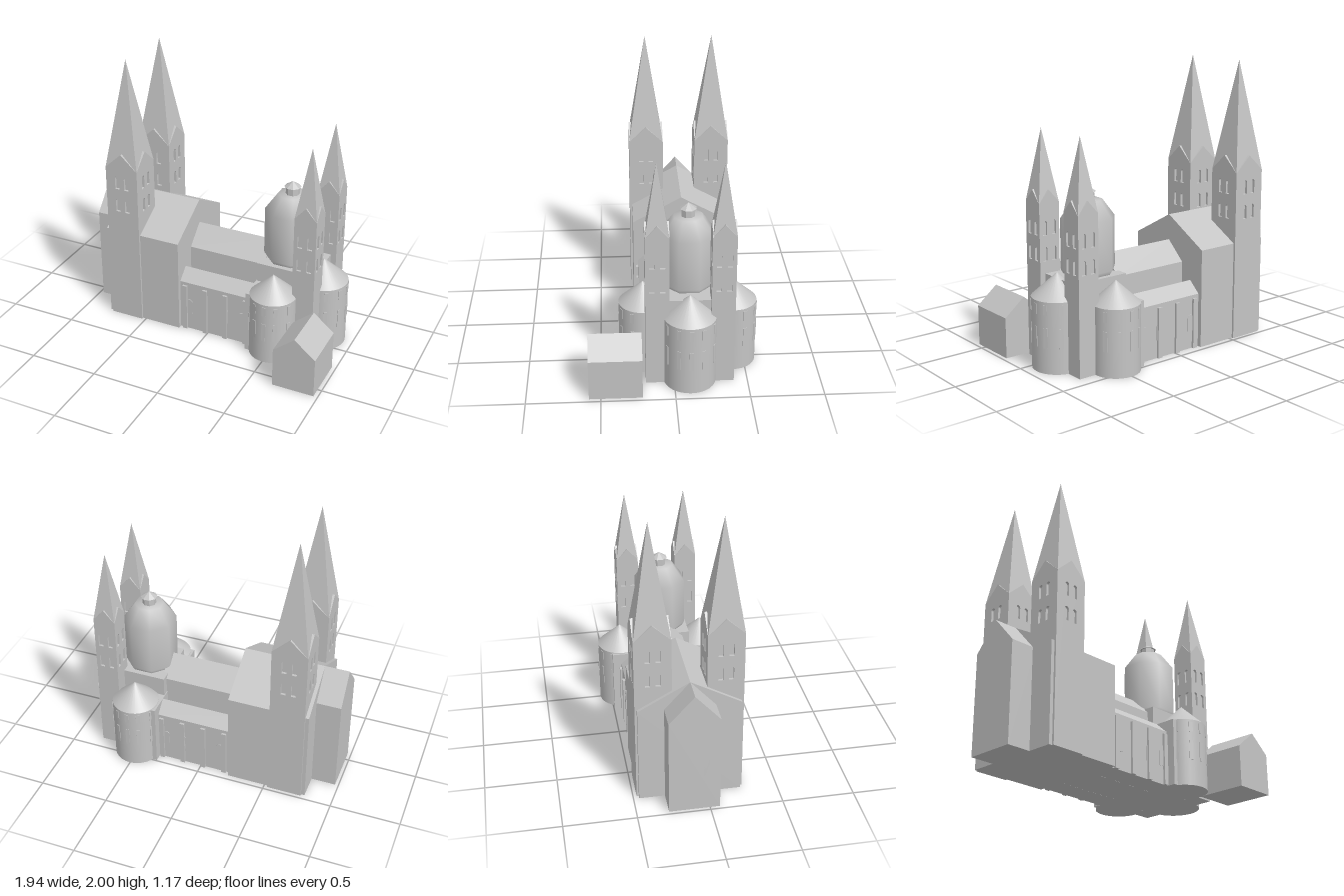
import * as THREE from 'three';

const stone = new THREE.MeshStandardMaterial({ color: 0xc4c4c4 });
stone.name = 'stone grey';

export function createModel() {
  const model = new THREE.Group();
  model.name = 'church';
  const church = new THREE.Group(); // everything symmetric about the long axis
  church.name = 'mainChurch';
  church.position.z = -0.107;
  model.add(church);

  const add = (parent, name, geo, x = 0, y = 0, z = 0) => {
    const m = new THREE.Mesh(geo, stone);
    m.name = name;
    m.position.set(x, y, z);
    parent.add(m);
    return m;
  };
  const box = (parent, name, x0, x1, y0, y1, z0, z1) =>
    add(parent, name, new THREE.BoxGeometry(x1 - x0, y1 - y0, z1 - z0),
      (x0 + x1) / 2, (y0 + y1) / 2, (z0 + z1) / 2);
  const polygon = (pts) => new THREE.Shape(pts.map(([x, y]) => new THREE.Vector2(x, y)));
  const extrude = (shape, depth) =>
    new THREE.ExtrudeGeometry(shape, { depth, bevelEnabled: false, curveSegments: 8 });
  const flat = (geo) => {
    const g = geo.toNonIndexed();
    g.computeVertexNormals();
    return g;
  };

  // House-shaped prism, ridge along z and centred
  const house = (half, eave, ridge, length) =>
    extrude(polygon([[-half, 0], [half, 0], [half, eave], [0, ridge], [-half, eave]]), length)
      .translate(0, 0, -length / 2);
  // House-shaped prism, ridge along x
  const hall = (name, x0, x1, z, half, eave, ridge) =>
    add(church, name, house(half, eave, ridge, x1 - x0).rotateY(Math.PI / 2), (x0 + x1) / 2, 0, z);

  // Round-arched outline standing on (x, y)
  const arch = (x, y, w, h, Type = THREE.Shape) => {
    const r = w / 2, s = new Type();
    s.moveTo(x - r, y);
    s.lineTo(x + r, y);
    s.lineTo(x + r, y + h - r);
    s.absarc(x, y + h - r, r, 0, Math.PI, false);
    s.closePath();
    return s;
  };
  const plate = (w, h) => extrude(arch(0, 0, w, h), 0.008);

  // Square tower: solid core, four gabled walls with window openings, pyramid spire
  const tower = (name, x, z, o) => {
    const g = new THREE.Group();
    g.name = name;
    g.position.set(x, 0, z);
    church.add(g);
    const { half, eave, peak, top, rows, wallDepth } = o;
    const core = half - wallDepth;
    box(g, 'towerCore', -core, core, 0, eave, -core, core);
    const wall = polygon([[-half, 0], [half, 0], [half, eave], [0, peak], [-half, eave]]);
    for (const y of rows)
      for (const s of [-1, 1])
        wall.holes.push(arch(s * 0.036, y, 0.034, 0.1, THREE.Path));
    const wallGeo = extrude(wall, wallDepth).translate(0, 0, core);
    for (let i = 0; i < 4; i++) add(g, 'towerWall', wallGeo).rotation.y = i * Math.PI / 2;
    const spire = flat(new THREE.ConeGeometry(half * Math.SQRT2, top - eave, 4).rotateY(Math.PI / 4));
    add(g, 'spire', spire, 0, (top + eave) / 2, 0);
  };

  // Round apse: drum, conical roof and two rows of windows, facing angle a (0 = +z)
  const apse = (name, x, z, a, r, wallTop, roofTop) => {
    const g = new THREE.Group();
    g.name = name;
    g.position.set(x, 0, z);
    g.rotation.y = a;
    church.add(g);
    add(g, 'apseWall', new THREE.CylinderGeometry(r, r, wallTop, 32), 0, wallTop / 2, 0);
    add(g, 'apseRoof', new THREE.ConeGeometry(r, roofTop - wallTop, 32), 0, (wallTop + roofTop) / 2, 0);
    for (const deg of [-63, -28, 0, 28, 63]) {
      const pivot = new THREE.Group();
      pivot.name = 'apseWindows';
      pivot.rotation.y = deg * Math.PI / 180;
      g.add(pivot);
      const d = r - 0.004;
      box(pivot, 'lowerWindow', -0.014, 0.014, 0.18, 0.32, d, d + 0.007);
      box(pivot, 'upperWindow', -0.014, 0.014, wallTop - 0.09, wallTop - 0.02, d, d + 0.007);
    }
  };

  // West end and nave
  hall('westPorch', -0.975, -0.78, 0, 0.175, 0.71, 0.905);
  hall('westBlock', -0.8, -0.22, 0, 0.353, 0.71, 0.905);
  hall('nave', -0.23, 0.36, 0, 0.145, 0.585, 0.72);
  for (const s of [-1, 1]) {
    add(church, 'porchWindow', plate(0.04, 0.15).rotateY(-Math.PI / 2), -0.967, 0.27, s * 0.08);
  }
  add(church, 'porchDoor', plate(0.09, 0.15).rotateY(-Math.PI / 2), -0.967, 0, 0);

  // Crossing and choir
  box(church, 'choir', 0.33, 0.76, 0, 0.615, -0.195, 0.195);
  box(church, 'transept', 0.325, 0.6, 0, 0.47, -0.385, 0.385);

  // Paired parts on both long sides
  for (const s of [-1, 1]) {
    hall('aisle', -0.23, 0.34, s * 0.234, 0.088, 0.39, 0.47);
    for (const x of [-0.18, -0.02, 0.14, 0.3])
      box(church, 'buttress', x - 0.017, x + 0.017, 0, 0.365,
        Math.min(s * 0.31, s * 0.338), Math.max(s * 0.31, s * 0.338));
    for (const x of [-0.145, 0.14, 0.265]) {
      const w = add(church, 'aisleWindow', plate(0.045, 0.12), x, 0.13, s * 0.318);
      if (s < 0) w.rotation.y = Math.PI;
    }
    tower('westTower', -0.65, s * 0.243,
      { half: 0.125, eave: 1.22, peak: 1.335, top: 2, rows: [0.88, 1.06], wallDepth: 0.018 });
    tower('eastTower', 0.72, s * 0.22,
      { half: 0.08, eave: 1.1, peak: 1.19, top: 1.6, rows: [0.7, 0.88], wallDepth: 0.015 });
    apse('transeptApse', 0.505, s * 0.309, s > 0 ? 0 : Math.PI, 0.167, 0.475, 0.63);
  }
  apse('eastApse', 0.762, 0, Math.PI / 2, 0.178, 0.5, 0.66);

  // Octagonal crossing dome with lantern
  const k = 1 / Math.cos(Math.PI / 8);
  const octagon = (pts) => new THREE.LatheGeometry(
    pts.map(([r, y]) => new THREE.Vector2(r * k, y)), 8).rotateY(Math.PI / 8);
  add(church, 'dome', octagon([[0.15, 0.6], [0.175, 0.645], [0.175, 1.0], [0.095, 1.12], [0, 1.121]]), 0.505);
  add(church, 'lantern', flat(octagon([[0.045, 1.11], [0.045, 1.175]])), 0.505);
  add(church, 'lanternRoof', flat(octagon([[0.04, 1.172], [0.055, 1.175], [0, 1.215]])), 0.505);

  // Detached gabled house at the south-east
  add(model, 'annex', house(0.152, 0.29, 0.415, 0.36), 0.818, 0, 0.4);

  return model;
}
